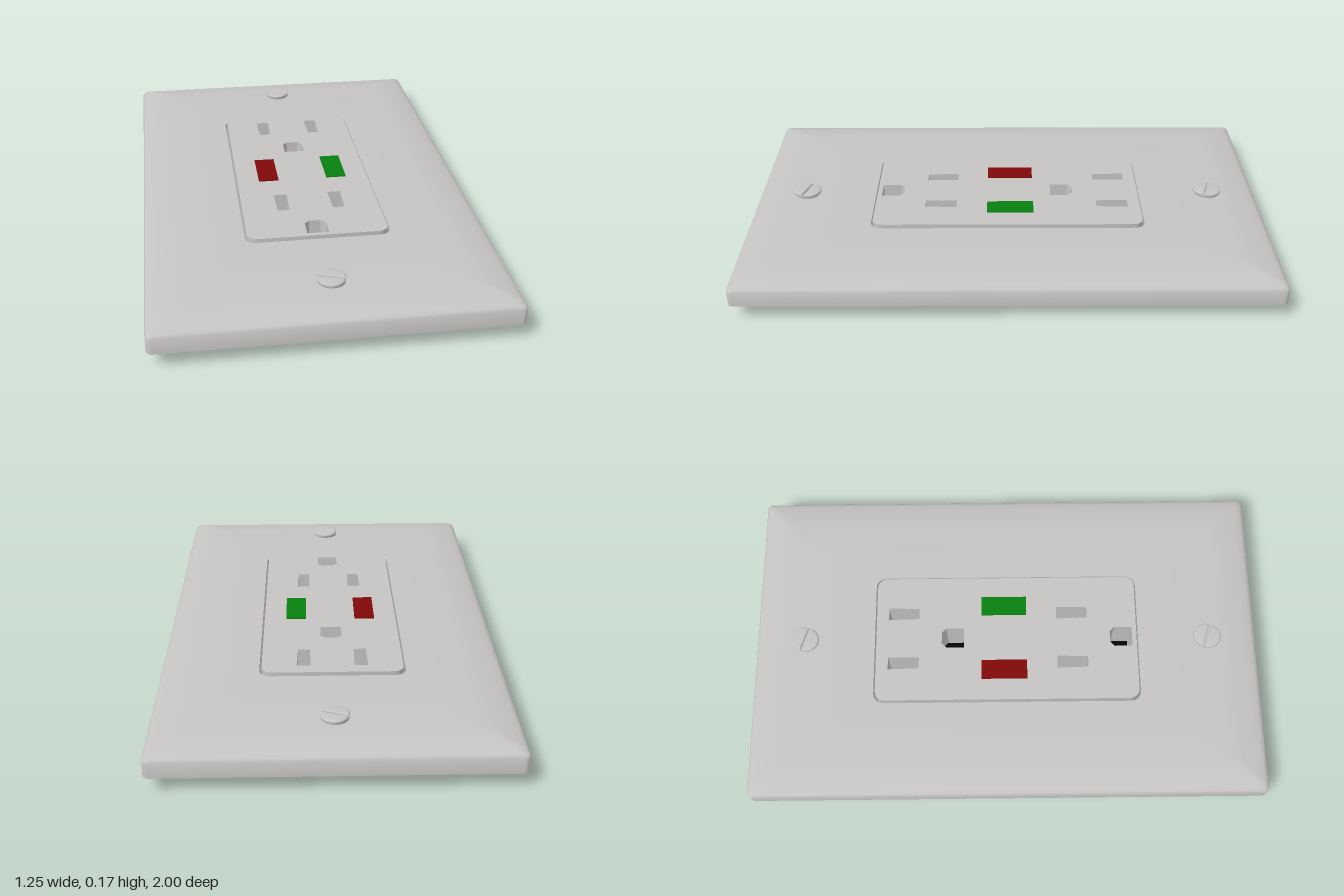
import * as THREE from 'three';
import { toCreasedNormals } from 'three/addons/utils/BufferGeometryUtils.js';

const mat = (name, color, side = THREE.FrontSide) => {
  const m = new THREE.MeshStandardMaterial({ color, side });
  m.name = name;
  return m;
};

// Points of a rounded rectangle, counted from +x towards +y
function roundedRect(hx, hy, r, steps = 6) {
  const pts = [];
  [[1, 1], [-1, 1], [-1, -1], [1, -1]].forEach(([sx, sy], q) => {
    for (let i = 0; i <= steps; i++) {
      const a = (q + i / steps) * Math.PI / 2;
      pts.push(new THREE.Vector2(sx * (hx - r) + r * Math.cos(a), sy * (hy - r) + r * Math.sin(a)));
    }
  });
  return pts;
}

// Closed skin through rounded-rectangle rings [halfX, halfZ, radius, y]
function loft(rings) {
  const pos = [], index = [];
  rings.forEach(([hx, hz, r, y]) => roundedRect(hx, hz, r).forEach(p => pos.push(p.x, y, p.y)));
  const n = pos.length / 3 / rings.length;
  for (let i = 0; i < rings.length - 1; i++) {
    for (let j = 0; j < n; j++) {
      const k = (j + 1) % n;
      const a = i * n + j, c = i * n + k, b = a + n, d = c + n;
      index.push(a, c, b, b, c, d);
    }
  }
  const g = new THREE.BufferGeometry();
  g.setAttribute('position', new THREE.Float32BufferAttribute(pos, 3));
  g.setIndex(index);
  return toCreasedNormals(g, 0.7);
}

// Upright extrusion: shape y becomes -z
function extrudeUp(shape, y, depth, options = {}) {
  const g = new THREE.ExtrudeGeometry(shape, { depth, bevelEnabled: false, curveSegments: 16, ...options });
  g.rotateX(-Math.PI / 2);
  g.translate(0, y, 0);
  return toCreasedNormals(g, 0.6);
}

export function createModel() {
  const group = new THREE.Group();
  const plastic = mat('light grey plastic', 0xc6c4c2);
  const black = mat('black', 0x050505, THREE.DoubleSide);
  const red = mat('red', 0x800808);
  const green = mat('green', 0x088010);
  const add = (name, geometry, material, parent = group) => {
    const m = new THREE.Mesh(geometry, material);
    m.name = name;
    parent.add(m);
    return m;
  };

  // Hollow cover plate: top from the opening outwards, rim, then back underneath
  const opening = y => [0.265, 0.525, 0.04, y];
  const inset = (d, y) => [0.625 - d, 1 - d, 0.022, y];
  add('coverPlate', loft([
    opening(0.157), inset(0.145, 0.157),
    inset(0.105, 0.153), inset(0.05, 0.142), inset(0.02, 0.134), inset(0.006, 0.128), inset(0, 0.118),
    inset(0, 0.06), inset(0.012, 0.06),
    inset(0.012, 0.112), inset(0.03, 0.124), inset(0.1, 0.14), inset(0.15, 0.143),
    opening(0.143), opening(0.157),
  ]), plastic);

  // Socket body with its slots cut right through
  const outline = roundedRect(0.257, 0.518, 0.038);
  const face = new THREE.Shape(outline);
  const hole = pts => face.holes.push(new THREE.Path(pts.map(([x, z]) => new THREE.Vector2(x, -z))));
  for (const z of [0, 0.67]) {
    for (const x of [-0.104, 0.104]) {
      hole([[x - 0.025, z - 0.47], [x + 0.025, z - 0.47], [x + 0.022, z - 0.348], [x - 0.022, z - 0.348]]);
    }
    hole([[-0.04, z - 0.17], [-0.04, z - 0.24], [-0.022, z - 0.258],
      [0.022, z - 0.258], [0.04, z - 0.24], [0.04, z - 0.17]]);
  }
  add('socketBody', extrudeUp(face, 0.002, 0.166), plastic);

  // Black base closing the body and the slots
  const base = new THREE.ShapeGeometry(new THREE.Shape(outline));
  base.rotateX(-Math.PI / 2);
  add('socketBase', base, black);

  // Test and reset buttons
  for (const [name, x, material] of [['redButton', -0.134, red], ['greenButton', 0.134, green]]) {
    const button = add(name, new THREE.BoxGeometry(0.077, 0.03, 0.18), material);
    button.position.set(x, 0.158, -0.01);
  }

  // Screws: a disc with two bevelled half heads that leave a slot between them
  const half = new THREE.Shape();
  const a0 = 0.12;
  half.absarc(0, 0, 0.04, a0, Math.PI - a0, false);
  half.closePath();
  const headGeometry = extrudeUp(half, 0.165, 0.004, {
    bevelEnabled: true, bevelThickness: 0.006, bevelSize: 0.008, bevelOffset: 0, bevelSegments: 3,
  });
  headGeometry.translate(0, 0, -0.006);
  for (const z of [-0.8, 0.8]) {
    const screw = new THREE.Group();
    screw.name = 'screw';
    screw.position.z = z;
    screw.rotation.y = -0.32;
    const disc = add('screwDisc', new THREE.CylinderGeometry(0.05, 0.045, 0.028, 32), plastic, screw);
    disc.position.y = 0.152;
    for (const turn of [0, Math.PI]) {
      add('screwHeadHalf', headGeometry, plastic, screw).rotation.y = turn;
    }
    group.add(screw);
  }
  return group;
}
